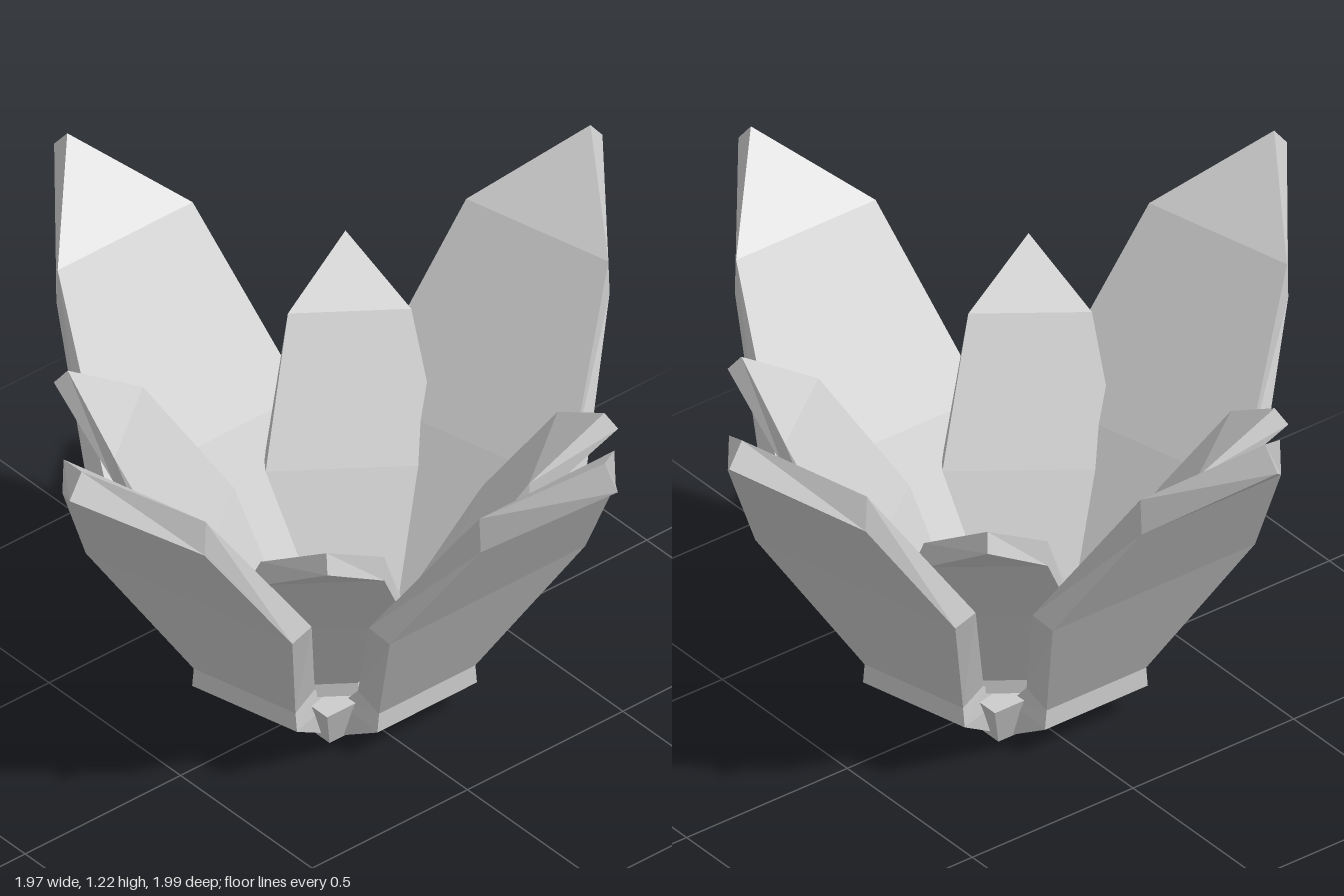
import * as THREE from 'three';

// Petal cross-sections from base to tip:
// [centre shift, half width, outer z, outer y, inner z, inner y]
const SECTIONS = [
  [-0.03, 0.125, 0.13, 0, 0.05, 0.03],
  [0, 0.16, 0.27, 0.09, 0.13, 0.1],
  [0, 0.155, 0.27, 0.145, 0.19, 0.17],
  [0, 0.315, 0.5, 0.565, 0.42, 0.57],
  [0, 0.217, 0.73, 0.93, 0.725, 1.03],
  [0, 0, 0.995, 1.16, 0.945, 1.22],
];

// Thick folded petal leaning out along +z, with its centre line at x = offset
function petalGeometry(offset) {
  const rings = SECTIONS.map(([shift, w, oz, oy, iz, iy]) => {
    const c = offset + shift * Math.sign(offset);
    return [[c - w, oy, oz], [c + w, oy, oz], [c + w, iy, iz], [c - w, iy, iz]]
      .map((p) => new THREE.Vector3(...p));
  });
  const pos = [];
  const tri = (a, b, c) => {
    if (a.equals(b) || b.equals(c) || a.equals(c)) return;
    for (const p of [a, b, c]) pos.push(p.x, p.y, p.z);
  };
  const quad = (a, b, c, d) => { tri(a, b, c); tri(a, c, d); };
  for (let i = 0; i < rings.length - 1; i++) {
    const lo = rings[i], hi = rings[i + 1];
    for (let k = 0; k < 4; k++) {
      const n = (k + 1) % 4;
      quad(lo[k], lo[n], hi[n], hi[k]);
    }
  }
  const r = rings[0];
  quad(r[3], r[2], r[1], r[0]);
  const g = new THREE.BufferGeometry();
  g.setAttribute('position', new THREE.Float32BufferAttribute(pos, 3));
  g.computeVertexNormals();
  return g;
}

export function createModel() {
  const group = new THREE.Group();
  const material = new THREE.MeshStandardMaterial({ color: 0xcccccc, flatShading: true });

  const addPetal = (name, degrees, offset, scale = 1, lift = 0) => {
    const mesh = new THREE.Mesh(petalGeometry(offset), material);
    mesh.name = name;
    mesh.rotation.y = THREE.MathUtils.degToRad(degrees);
    mesh.scale.setScalar(scale);
    mesh.position.y = lift;
    group.add(mesh);
  };

  for (const turn of [0, 180]) {
    // Tall outer petals: front and back straight, side pair slightly twisted
    addPetal('outerPetal', turn, 0.065);
    addPetal('outerSidePetal', turn + 103.4, -0.08);
    // Smaller inner petals on the diagonals, in mirrored pairs
    addPetal('innerPetal', turn + 36.5, 0.095, 0.7, 0.08);
    addPetal('innerPetal', turn - 36.5, -0.095, 0.7, 0.08);
  }

  // Square base joining the petals
  const base = new THREE.Mesh(new THREE.CylinderGeometry(0.26, 0.19, 0.13, 4), material);
  base.geometry.rotateY(Math.PI / 4);
  base.name = 'base';
  base.position.y = 0.065;
  group.add(base);

  return group;
}
